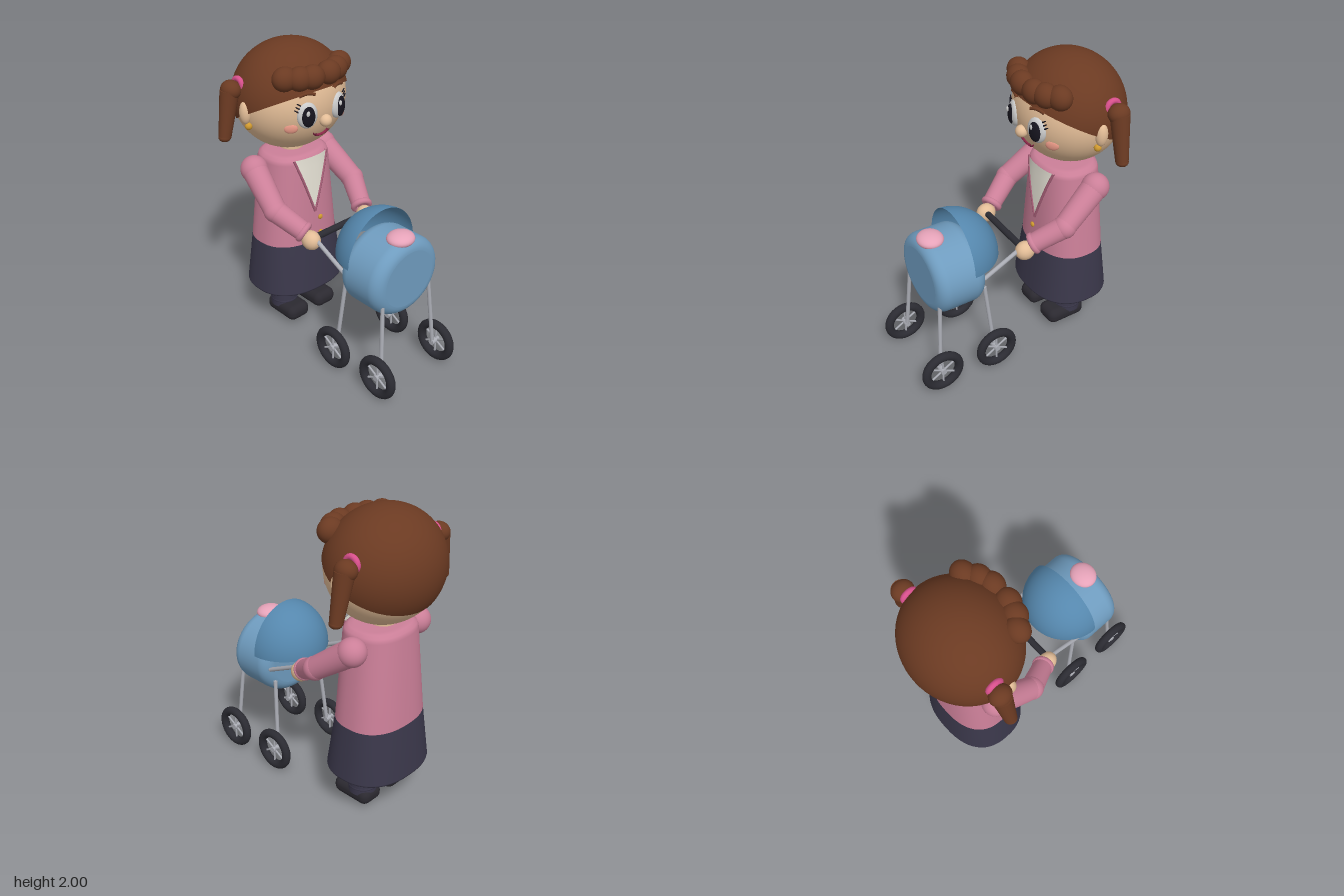
import * as THREE from 'three';
import { RoundedBoxGeometry } from 'three/addons/geometries/RoundedBoxGeometry.js';

const C = {
  skin: 0xe3bd97, hair: 0x6b3a22, pink: 0xcb7f98, trim: 0xa85f78, navy: 0x3a374a, shoe: 0x2b2930,
  cream: 0xe9e5d8, blue: 0x6f9cbf, hood: 0x5587ad, metal: 0xa9abb3, dark: 0x2b2b32, gold: 0xd09a30,
  white: 0xf4f4f4, black: 0x17151f, tie: 0xd8508c, pillow: 0xe6a3b9, cheek: 0xe39583, lips: 0x8a2748,
};
const mats = {};
const mat = (c, side = THREE.FrontSide) =>
  (mats[c + '/' + side] ??= new THREE.MeshStandardMaterial({ color: c, side }));
const V = (a) => new THREE.Vector3(...a);

function add(parent, name, geo, color, pos = [0, 0, 0], side) {
  const m = new THREE.Mesh(geo, mat(color, side));
  m.name = name;
  m.position.set(...pos);
  parent.add(m);
  return m;
}
function ball(parent, name, color, pos, radii, segs = 28) {
  const r = Array.isArray(radii) ? radii : [radii, radii, radii];
  return add(parent, name, new THREE.SphereGeometry(1, segs, Math.round(segs * 0.7)).scale(...r), color, pos);
}
// Tapered rod from a to b
function rod(parent, name, color, a, b, ra, rb = ra, segs = 24) {
  const d = V(b).sub(V(a));
  const m = add(parent, name, new THREE.CylinderGeometry(rb, ra, d.length(), segs), color,
    V(a).add(V(b)).multiplyScalar(0.5).toArray());
  m.quaternion.setFromUnitVectors(new THREE.Vector3(0, 1, 0), d.normalize());
  return m;
}
// Smooth body through squarish oval rings [y, rx, rz, centreZ], listed upward
const POW = 2.4;
function loft(rings, n = 56) {
  const p = [], idx = [];
  const sp = (v) => Math.sign(v) * Math.abs(v) ** (2 / POW);
  rings.forEach(([y, rx, rz, cz], j) => {
    for (let i = 0; i < n; i++) {
      const t = (i / n) * Math.PI * 2, k = (i + 1) % n;
      p.push(rx * sp(Math.sin(t)), y, cz + rz * sp(Math.cos(t)));
      if (j) {
        const a = (j - 1) * n + i, b = (j - 1) * n + k, c = j * n + k, d = j * n + i;
        idx.push(a, b, c, a, c, d);
      }
    }
  });
  const g = new THREE.BufferGeometry();
  g.setAttribute('position', new THREE.Float32BufferAttribute(p, 3));
  g.setIndex(idx);
  g.computeVertexNormals();
  return g;
}

const HEAD = [0, 1.643, -0.452], HR = [0.375, 0.35, 0.34];
const faceZ = (x, y) =>
  HEAD[2] + HR[2] * Math.sqrt(Math.max(0, 1 - (x / HR[0]) ** 2 - ((y - HEAD[1]) / HR[1]) ** 2));
// Front surface of the jacket
function chestZ(x, y) {
  const t = (1.23 - y) / 0.58;
  const rx = 0.235 + 0.06 * t, rz = 0.197 + 0.033 * t;
  return -0.437 - 0.011 * t + rz * (1 - Math.min(1, Math.abs(x) / rx) ** POW) ** (1 / POW);
}

function buildHead(root) {
  const g = new THREE.Group();
  g.name = 'head';
  root.add(g);
  ball(g, 'face', C.skin, HEAD, HR, 48);
  // Hair cap with a hairline that rises to the front
  add(g, 'hairCap', new THREE.SphereGeometry(1, 56, 36, 0, Math.PI * 2, 0, 1.71)
    .rotateX(-0.47).scale(0.388, 0.357, 0.347), C.hair, HEAD, THREE.DoubleSide);
  for (const s of [-1, 1]) {
    // Fringe curls
    for (const [x, y, z] of [[0.065, 1.84, -0.155], [0.145, 1.842, -0.18], [0.22, 1.845, -0.23]])
      ball(g, 'fringeCurl', C.hair, [s * x, y, z], [0.082, 0.076, 0.072]);
    // Pigtail
    ball(g, 'pigtailTop', C.hair, [s * 0.405, 1.745, -0.522], [0.062, 0.062, 0.07]);
    rod(g, 'pigtail', C.hair, [s * 0.415, 1.74, -0.522], [s * 0.475, 1.455, -0.518], 0.061, 0.04);
    ball(g, 'pigtailTip', C.hair, [s * 0.476, 1.455, -0.518], [0.04, 0.03, 0.04]);
    add(g, 'hairTie', new THREE.TorusGeometry(0.042, 0.018, 12, 28).rotateY(Math.PI / 2), C.tie,
      [s * 0.352, 1.765, -0.515]);
    // Ear and earring
    ball(g, 'ear', C.skin, [s * 0.375, 1.615, -0.43], [0.035, 0.075, 0.04]);
    ball(g, 'earring', C.gold, [s * 0.365, 1.528, -0.415], 0.024, 16);
    // Eye
    const ez = faceZ(0.125, 1.615);
    ball(g, 'eyeWhite', C.white, [s * 0.125, 1.615, ez - 0.008], [0.068, 0.085, 0.035]).rotation.y = s * 0.3;
    ball(g, 'pupil', C.black, [s * 0.132, 1.612, ez + 0.014], [0.045, 0.066, 0.018]).rotation.y = s * 0.25;
    ball(g, 'eyeGlint', C.white, [s * 0.132 - 0.016, 1.64, ez + 0.03], [0.014, 0.018, 0.007], 12);
    for (let i = 0; i < 3; i++) {
      const x = 0.172 + i * 0.008, y = 1.687 - i * 0.02;
      rod(g, 'eyelash', C.black, [s * x, y, faceZ(x, y) + 0.008],
        [s * (x + 0.022), y + 0.016, faceZ(x + 0.022, y) + 0.012], 0.005, 0.003, 8);
    }
    // Eyebrow
    const brow = [0.075, 0.105, 0.14, 0.175].map((x, i) => {
      const y = 1.742 + (i % 3 ? 0.01 : 0);
      return new THREE.Vector3(s * x, y, faceZ(x, y) + 0.01);
    });
    add(g, 'eyebrow', new THREE.TubeGeometry(new THREE.CatmullRomCurve3(brow), 16, 0.011, 10), C.hair);
    ball(g, 'cheek', C.cheek, [s * 0.213, 1.535, faceZ(0.213, 1.535)], [0.043, 0.031, 0.014]).rotation.y = s * 0.65;
  }
  ball(g, 'nose', C.skin, [0, 1.555, -0.112], 0.04);
  const mouth = add(g, 'mouth', new THREE.TorusGeometry(0.056, 0.011, 10, 28, Math.PI)
    .rotateZ(Math.PI).scale(1, 0.65, 1), C.lips, [0, 1.478, -0.152]);
  mouth.rotation.x = 0.45;
  rod(root, 'neck', C.skin, [0, 1.22, -0.45], [0, 1.33, -0.45], 0.08);
}

function buildBody(root) {
  add(root, 'jacket', loft([[0.64, 0, 0, -0.448], [0.64, 0.29, 0.226, -0.448], [0.65, 0.295, 0.23, -0.448],
    [1.23, 0.235, 0.197, -0.437], [1.258, 0.226, 0.188, -0.437], [1.273, 0.2, 0.165, -0.437],
    [1.277, 0.17, 0.135, -0.437], [1.277, 0, 0, -0.437]]), C.pink);
  add(root, 'skirt', loft([[0.283, 0, 0, -0.445], [0.283, 0.325, 0.262, -0.445], [0.288, 0.336, 0.272, -0.445],
    [0.3, 0.339, 0.275, -0.445], [0.645, 0.297, 0.231, -0.447], [0.655, 0.29, 0.225, -0.447],
    [0.655, 0, 0, -0.447]]), C.navy);
  // V-neck shirt lying on the chest
  const shirt = new THREE.PlaneGeometry(2, 1, 12, 12), p = shirt.attributes.position;
  for (let i = 0; i < p.count; i++) {
    const t = p.getY(i) + 0.5, y = 0.87 + 0.395 * t, x = p.getX(i) * 0.135 * t;
    p.setXYZ(i, x, y, chestZ(x, Math.min(y, 1.24)) + 0.004);
  }
  shirt.computeVertexNormals();
  add(root, 'shirt', shirt, C.cream, [0, 0, 0], THREE.DoubleSide);
  for (const s of [-1, 1]) {
    const lapel = [1, 0.66, 0.33, 0].map((t) => {
      const y = 0.87 + 0.395 * t;
      return new THREE.Vector3(s * 0.137 * t, y, chestZ(0.137 * t, y) + 0.003);
    });
    add(root, 'lapelTrim', new THREE.TubeGeometry(new THREE.CatmullRomCurve3(lapel), 20, 0.009, 8), C.trim);
  }
  for (const y of [0.83, 0.712]) ball(root, 'button', C.gold, [0.02, y, -0.193], [0.018, 0.018, 0.011], 16);

  for (const s of [-1, 1]) {
    // Arm
    const sh = [s * 0.295, 1.188, -0.475], el = [s * 0.338, 1.0, -0.22], wr = [s * 0.255, 0.888, -0.045];
    ball(root, 'shoulder', C.pink, sh, 0.09);
    rod(root, 'upperSleeve', C.pink, sh, el, 0.085, 0.073);
    ball(root, 'elbow', C.pink, el, 0.076);
    rod(root, 'lowerSleeve', C.pink, el, wr, 0.073, 0.064);
    const cuff = add(root, 'cuff', new THREE.TorusGeometry(0.052, 0.021, 12, 28), C.pink, wr);
    cuff.quaternion.setFromUnitVectors(new THREE.Vector3(0, 0, 1), V(wr).sub(V(el)).normalize());
    ball(root, 'hand', C.skin, [s * 0.24, 0.843, 0.008], [0.058, 0.064, 0.066]);
    // Leg and shoe
    rod(root, 'leg', C.navy, [s * 0.122, 0.1, -0.43], [s * 0.122, 0.3, -0.43], 0.094);
    const sock = add(root, 'ankleCuff', new THREE.TorusGeometry(0.078, 0.018, 10, 32), C.navy, [s * 0.122, 0.145, -0.43]);
    sock.rotation.x = Math.PI / 2;
    add(root, 'shoe', new RoundedBoxGeometry(0.176, 0.112, 0.285, 5, 0.05), C.shoe, [s * 0.122, 0.083, -0.387]);
  }
}

function buildPram(root) {
  const g = new THREE.Group();
  g.name = 'pram';
  root.add(g);
  // Barrel basket lying along z, with rounded ends
  const prof = [[0, -0.17], [0.72, -0.17]];
  for (let i = 0; i <= 8; i++) {
    const a = (i / 8) * Math.PI / 2;
    prof.push([0.72 + 0.28 * Math.sin(a), -0.09 - 0.08 * Math.cos(a)]);
  }
  const full = [...prof, ...prof.slice().reverse().map(([r, y]) => [r, -y])];
  add(g, 'basket', new THREE.LatheGeometry(full.map(([r, y]) => new THREE.Vector2(r, y)), 56)
    .rotateX(Math.PI / 2).scale(0.285, 0.257, 1), C.blue, [0, 0.747, 0.465]);
  // Quarter-sphere hood, open to the front
  add(g, 'hood', new THREE.SphereGeometry(1, 40, 20, 0, Math.PI, 0, Math.PI / 2)
    .rotateY(Math.PI).scale(0.287, 0.307, 0.287), C.hood, [0, 0.82, 0.395], THREE.DoubleSide);
  ball(g, 'pillow', C.pillow, [0, 0.998, 0.548], [0.092, 0.045, 0.084]);
  rod(g, 'handleBar', C.dark, [-0.23, 0.86, 0.02], [0.23, 0.86, 0.02], 0.022);
  for (const s of [-1, 1]) {
    rod(g, 'handleArm', C.metal, [s * 0.232, 0.735, 0.3], [s * 0.232, 0.872, 0.02], 0.014);
    ball(g, 'handleJoint', C.metal, [s * 0.232, 0.735, 0.3], 0.015, 14);
    for (const [topZ, z] of [[0.61, 0.648], [0.288, 0.245]]) {
      rod(g, 'frameLeg', C.metal, [s * 0.205, 0.64, topZ], [s * 0.24, 0.15, z], 0.013);
      const w = new THREE.Group();
      w.name = 'wheel';
      w.position.set(s * 0.274, 0.147, z);
      g.add(w);
      add(w, 'tyre', new THREE.TorusGeometry(0.118, 0.029, 16, 40).rotateY(Math.PI / 2), C.dark);
      rod(w, 'hub', C.metal, [-s * 0.045, 0, 0], [s * 0.02, 0, 0], 0.02);
      for (let i = 0; i < 6; i++) {
        const a = (i / 6) * Math.PI * 2 + Math.PI / 6;
        rod(w, 'spoke', C.metal, [0, 0, 0], [0, 0.1 * Math.sin(a), 0.1 * Math.cos(a)], 0.007, 0.007, 8);
      }
    }
  }
}

export function createModel() {
  const root = new THREE.Group();
  root.name = 'girlWithPram';
  buildHead(root);
  buildBody(root);
  buildPram(root);
  return root;
}
